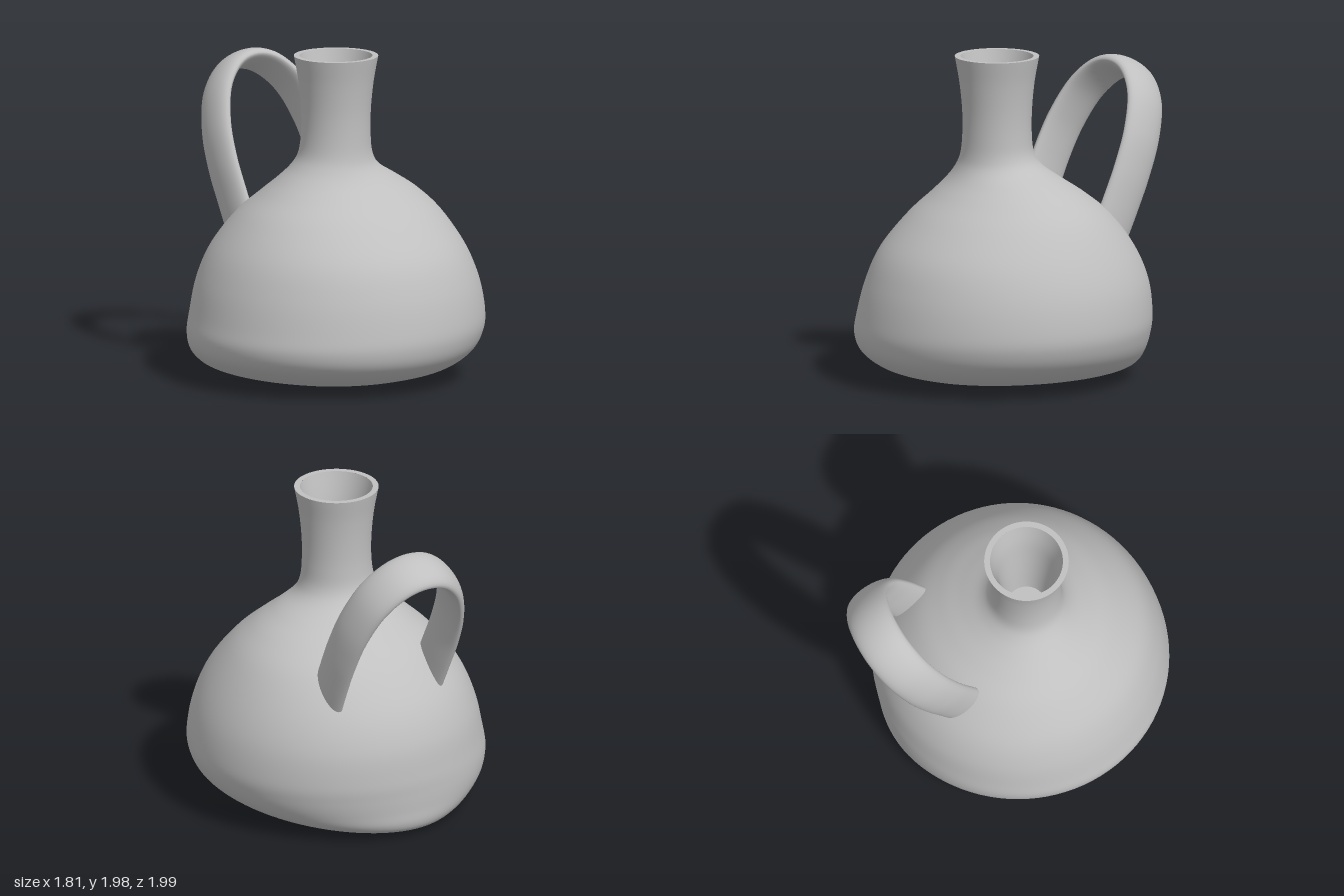
import * as THREE from 'three';

const clay = new THREE.MeshStandardMaterial({ color: 0xc0c0c0 });
clay.name = 'grey clay';

// Smooth skin over a stack of closed rings of points
function loft(rings) {
  const n = rings[0].length, index = [];
  for (let i = 0; i < rings.length - 1; i++) {
    for (let j = 0; j < n; j++) {
      const a = i * n + j, b = i * n + (j + 1) % n;
      index.push(a, a + n, b, b, a + n, b + n);
    }
  }
  const g = new THREE.BufferGeometry().setFromPoints(rings.flat());
  g.setIndex(index);
  g.computeVertexNormals();
  return g;
}

function part(name, geometry, parent) {
  const m = new THREE.Mesh(geometry, clay);
  m.name = name;
  parent.add(m);
  return m;
}

// Lopsided vessel: y, right x, left x, back z, front z
const SECTIONS = [
  [0, -0.42, 0.15, -0.64, 0.39],
  [0.02, -0.52, 0.36, -0.70, 0.53],
  [0.05, -0.64, 0.56, -0.755, 0.69],
  [0.1, -0.765, 0.71, -0.78, 0.85],
  [0.18, -0.87, 0.82, -0.785, 0.955],
  [0.28, -0.905, 0.88, -0.79, 0.997],
  [0.4, -0.885, 0.9, -0.79, 0.995],
  [0.6, -0.835, 0.87, -0.765, 0.95],
  [0.8, -0.75, 0.79, -0.68, 0.86],
  [1.0, -0.605, 0.665, -0.52, 0.685],
  [1.13, -0.47, 0.53, -0.36, 0.535],
  [1.22, -0.375, 0.39, -0.235, 0.435],
  [1.3, -0.3, 0.255, -0.14, 0.375],
  [1.38, -0.255, 0.2, -0.09, 0.35],
  [1.5, -0.237, 0.185, -0.075, 0.342],
  [1.65, -0.236, 0.186, -0.077, 0.345],
  [1.82, -0.252, 0.202, -0.093, 0.363],
  [1.975, -0.28, 0.23, -0.12, 0.39],
];

function vesselGeometry() {
  const xs = new THREE.CatmullRomCurve3(SECTIONS.map(s => new THREE.Vector3(s[1], s[0], s[2])), false, 'catmullrom');
  const zs = new THREE.CatmullRomCurve3(SECTIONS.map(s => new THREE.Vector3(s[3], s[0], s[4])), false, 'catmullrom');
  const rings = [], rows = 102, sides = 96;
  for (let i = 0; i <= rows; i++) {
    const px = xs.getPoint(i / rows), pz = zs.getPoint(i / rows), ring = [];
    for (let j = 0; j < sides; j++) {
      const a = j / sides * Math.PI * 2;
      ring.push(new THREE.Vector3(
        (px.x + px.z) / 2 + (px.z - px.x) / 2 * Math.cos(a),
        px.y,
        (pz.x + pz.z) / 2 + (pz.z - pz.x) / 2 * Math.sin(a)));
    }
    rings.push(ring);
  }
  return loft(rings);
}

// Strap handle: an arch in a plane leaning backwards
function handleGeometry() {
  const lean = new THREE.Vector3(0, 0.9, -0.43).normalize();
  const across = new THREE.Vector3(1, 0, 0).cross(lean);
  const path = new THREE.CatmullRomCurve3([
    [-0.325, -0.15], [-0.335, 0.1], [-0.34, 0.32], [-0.315, 0.55], [-0.235, 0.77], [-0.11, 0.9],
    [0.02, 0.935], [0.15, 0.9], [0.28, 0.77], [0.36, 0.55], [0.385, 0.32], [0.385, 0.1], [0.375, -0.15],
  ].map(([x, s]) => new THREE.Vector3(x, 0.95, -0.45).addScaledVector(lean, s)));
  const rings = [], steps = 80, sides = 28;
  for (let i = 0; i <= steps; i++) {
    const p = path.getPointAt(i / steps), t = path.getTangentAt(i / steps);
    const out = across.clone().cross(t).normalize();
    const ring = [];
    for (let j = 0; j < sides; j++) {
      const a = j / sides * Math.PI * 2, c = Math.cos(a);
      ring.push(p.clone()
        .addScaledVector(out, c * (c > 0 ? 0.06 : 0.04))
        .addScaledVector(across, -0.145 * Math.sin(a)));
    }
    rings.push(ring);
  }
  return loft(rings);
}

export function createModel() {
  const jug = new THREE.Group();
  jug.name = 'jug';
  part('body', vesselGeometry(), jug);
  part('handle', handleGeometry(), jug);

  // Flat base
  const base = part('base', new THREE.CircleGeometry(1, 96).rotateX(Math.PI / 2).scale(0.285, 1, 0.515), jug);
  base.position.set(-0.135, 0, -0.125);

  // Mouth: flat rim, funnel-shaped inside and its floor
  const mouth = new THREE.Group();
  mouth.name = 'mouth';
  mouth.position.set(-0.025, 0, 0.135);
  jug.add(mouth);
  part('rim', new THREE.RingGeometry(0.22, 0.255, 96).rotateX(-Math.PI / 2), mouth).position.y = 1.975;
  const funnel = new THREE.SplineCurve([
    [0.22, 1.975], [0.18, 1.8], [0.155, 1.6], [0.135, 1.4], [0.12, 1.2],
  ].map(p => new THREE.Vector2(...p))).getPoints(24);
  part('neckInside', new THREE.LatheGeometry(funnel, 64), mouth);
  part('neckFloor', new THREE.CircleGeometry(0.12, 64).rotateX(-Math.PI / 2), mouth).position.y = 1.2;
  return jug;
}
